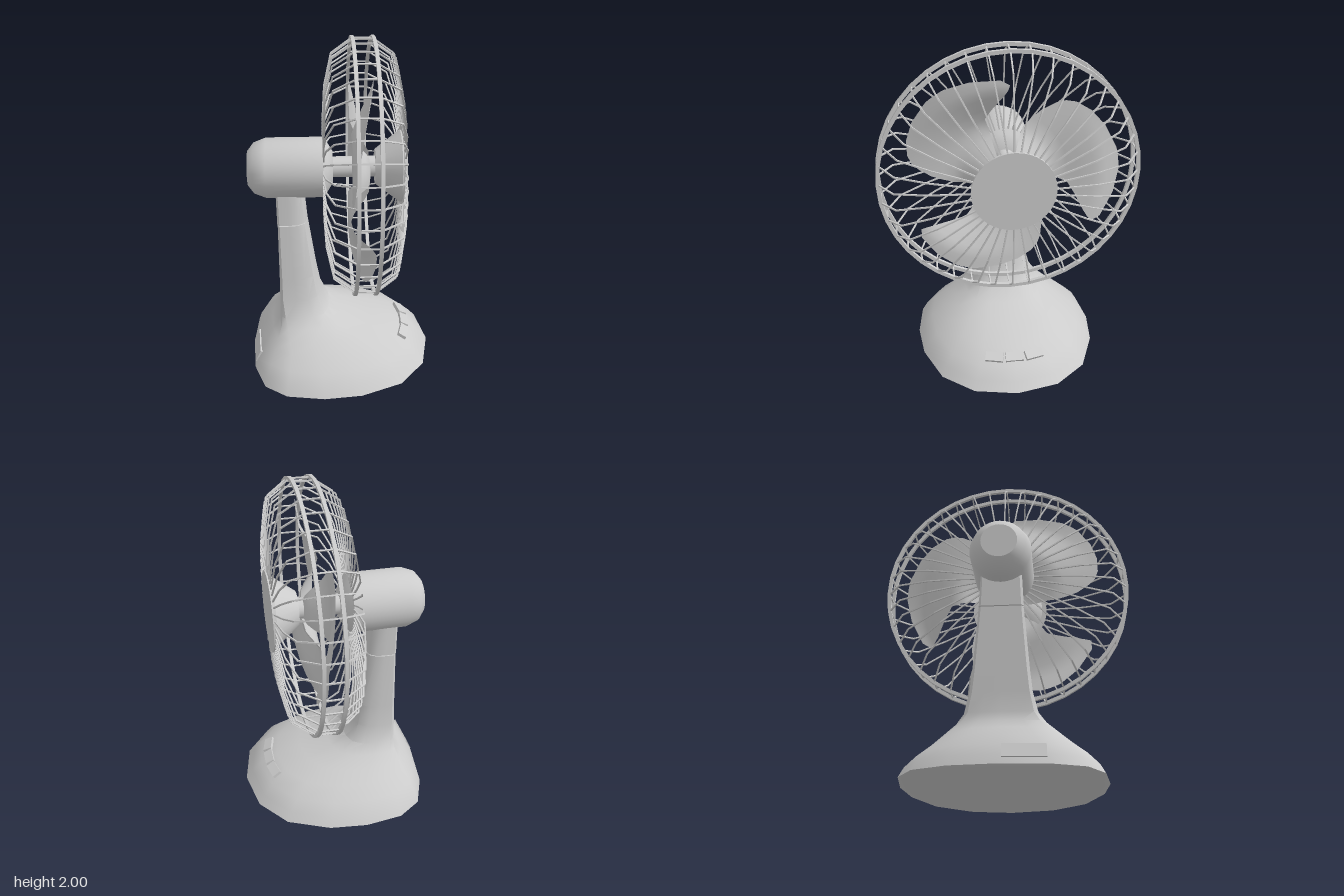
import * as THREE from 'three';
import { mergeGeometries, toCreasedNormals } from 'three/addons/utils/BufferGeometryUtils.js';

const AXIS_Y = 1.268;
const WIRES = 40;
const { smoothstep, degToRad, lerp } = THREE.MathUtils;
const grey = new THREE.MeshStandardMaterial({ color: 0xcccccc });
grey.name = 'light grey plastic';
const greyThin = new THREE.MeshStandardMaterial({ color: 0xcccccc, side: THREE.DoubleSide });
greyThin.name = 'light grey blade';

function add(parent, name, geometry, material = grey) {
  const mesh = new THREE.Mesh(geometry, material);
  mesh.name = name;
  parent.add(mesh);
  return mesh;
}

// Half outlines from back to front: [share of length, share of half width]
const FOOT = [[0, 0], [0.018, 0.45], [0.08, 0.78], [0.2, 0.945], [0.4, 1], [0.6, 0.96], [0.82, 0.78], [0.955, 0.45], [1, 0]];
const COLUMN = [[0, 0], [0, 0.5], [0, 0.9], [0.07, 1], [0.4, 1], [0.68, 0.95], [0.9, 0.76], [0.98, 0.42], [1, 0]];
const mirrored = half => [...half, ...half.slice(1, -1).reverse().map(([u, w]) => [u, -w])];
const footOutline = mirrored(FOOT), columnOutline = mirrored(COLUMN);

// Loft through levels of [y, back x, front x, half width, blend from foot to column outline]
function loft(levels) {
  const pos = [], index = [], n = footOutline.length;
  for (const [y, x0, x1, w, s] of levels)
    footOutline.forEach(([u, v], i) => {
      const [cu, cv] = columnOutline[i];
      pos.push(lerp(x0, x1, lerp(u, cu, s)), y, w * lerp(v, cv, s));
    });
  for (let k = 0; k < levels.length - 1; k++)
    for (let i = 0; i < n; i++) {
      const a = k * n + i, b = k * n + (i + 1) % n;
      index.push(a, b, b + n, a, b + n, a + n);
    }
  const top = (levels.length - 1) * n;
  for (let i = 1; i < n - 1; i++) index.push(0, i + 1, i, top, top + i, top + i + 1);
  const g = new THREE.BufferGeometry();
  g.setAttribute('position', new THREE.Float32BufferAttribute(pos, 3));
  g.setIndex(index);
  return toCreasedNormals(g, 0.7);
}

// Turned part on the fan axis; profile of [radius, x] from back to front
function turned(profile, sides = 32) {
  const g = new THREE.LatheGeometry(profile.map(p => new THREE.Vector2(...p)), sides);
  g.rotateZ(-Math.PI / 2);
  return toCreasedNormals(g, 0.6);
}

// Straight square rod between two points
function rod(a, b, thickness) {
  const d = b.clone().sub(a);
  const g = new THREE.BoxGeometry(thickness, d.length() + thickness * 0.5, thickness);
  g.applyQuaternion(new THREE.Quaternion().setFromUnitVectors(new THREE.Vector3(0, 1, 0), d.normalize()));
  return g.translate((a.x + b.x) / 2, (a.y + b.y) / 2, (a.z + b.z) / 2);
}

// Cupped blade: at each radius, the angles of its leading and trailing edges
function bladeGeometry() {
  const rows = [[0.05, 116, 194], [0.12, 113, 193], [0.16, 112, 192.5], [0.2, 111, 192], [0.24, 110, 191], [0.29, 109, 190],
    [0.35, 109, 185.5], [0.416, 100, 181], [0.49, 92.5, 175], [0.53, 90, 171], [0.56, 89, 166], [0.59, 94, 157],
    [0.613, 109, 146], [0.632, 122, 133]];
  const steps = 12, pos = [], index = [];
  rows.forEach(([r, a, b], k) => {
    for (let i = 0; i <= steps; i++) {
      const deg = lerp(a, b, i / steps), t = degToRad(deg);
      const root = 0.115 * (1 - smoothstep(r, 0.08, 0.3));
      const tip = 0.125 * smoothstep(r, 0.28, 0.56) * (1 - smoothstep(deg, 85, 180));
      pos.push(0.052 + root + tip, r * Math.sin(t), -r * Math.cos(t));
      if (k && i) {
        const q = k * (steps + 1) + i, p = q - steps - 1;
        index.push(p - 1, p, q, p - 1, q, q - 1);
      }
    }
  });
  const g = new THREE.BufferGeometry();
  g.setAttribute('position', new THREE.Float32BufferAttribute(pos, 3));
  g.setIndex(index);
  g.computeVertexNormals();
  return g;
}

export function createModel() {
  const model = new THREE.Group();
  model.name = 'deskFan';

  // Flared foot running up into the square-backed column
  add(model, 'baseAndColumn', loft([
    [0, -0.28, 0.28, 0.28, 0], [0.014, -0.48, 0.48, 0.48, 0], [0.03, -0.55, 0.55, 0.55, 0], [0.08, -0.535, 0.51, 0.52, 0],
    [0.14, -0.505, 0.455, 0.46, 0], [0.2, -0.465, 0.35, 0.38, 0], [0.25, -0.425, 0.2, 0.31, 0.15], [0.3, -0.38, 0.03, 0.24, 0.45],
    [0.35, -0.367, -0.07, 0.195, 0.75], [0.46, -0.366, -0.12, 0.165, 1], [0.6, -0.365, -0.145, 0.15, 1], [0.95, -0.365, -0.195, 0.122, 1]]));
  add(model, 'neck', loft([[0.955, -0.367, -0.194, 0.122, 1], [1.16, -0.37, -0.212, 0.113, 1]]));

  // Row of push buttons on the front slope
  for (const s of [-1, 0, 1]) {
    const button = add(model, 'button', new THREE.BoxGeometry(0.055, 0.03, 0.105));
    button.position.set(0.395 - Math.abs(s) * 0.012, 0.174, s * 0.117);
    button.rotation.set(0, s * -0.25, -0.5);
  }

  // Small panel low on the back
  const panel = add(model, 'backPanel', new THREE.BoxGeometry(0.016, 0.08, 0.22));
  panel.position.set(-0.513, 0.1, 0.125);
  panel.rotation.set(0, 0.08, -0.4);

  const head = new THREE.Group();
  head.name = 'head';
  head.position.y = AXIS_Y;
  model.add(head);

  // Motor, shaft and spinner
  add(head, 'motorHousing', turned([[0, -0.525], [0.1, -0.525], [0.145, -0.49], [0.172, -0.42],
    [0.172, -0.1], [0.14, -0.075], [0.09, -0.045], [0, -0.045]]));
  add(head, 'shaft', turned([[0, -0.06], [0.06, -0.06], [0.06, 0.21], [0, 0.21]], 20));
  add(head, 'spinner', turned([[0, 0.195], [0.1, 0.195], [0.205, 0.335], [0.205, 0.345], [0, 0.345]]));

  // Three blades, hanging slightly below the guard's centre
  const blades = new THREE.Group();
  blades.name = 'blades';
  blades.position.set(0, -0.028, 0.01);
  head.add(blades);
  const blade = bladeGeometry();
  for (let i = 0; i < 3; i++) add(blades, 'blade', blade, greyThin).rotation.x = i * Math.PI * 2 / 3;

  // Guard: front disc, two rim bands and bent wires
  add(head, 'frontDisc', turned([[0, 0.343], [0.232, 0.343], [0.232, 0.358], [0, 0.358]], 36));
  for (const x of [0.067, 0.182])
    add(head, 'rimBand', turned([[0.71, x - 0.01], [0.731, x - 0.01], [0.731, x + 0.01], [0.71, x + 0.01], [0.71, x - 0.01]], WIRES));
  const bend = [[-0.098, 0.165], [-0.098, 0.3], [-0.088, 0.46], [-0.048, 0.637], [0.067, 0.718],
    [0.182, 0.718], [0.295, 0.637], [0.333, 0.46], [0.348, 0.22]].map(([x, r]) => new THREE.Vector3(x, r, 0));
  const wire = mergeGeometries(bend.slice(1).map((p, i) => rod(bend[i], p, 0.008)));
  const wires = [];
  for (let i = 0; i < WIRES; i++) wires.push(wire.clone().rotateX(i * Math.PI * 2 / WIRES));
  add(head, 'guardWires', mergeGeometries(wires));

  return model;
}
